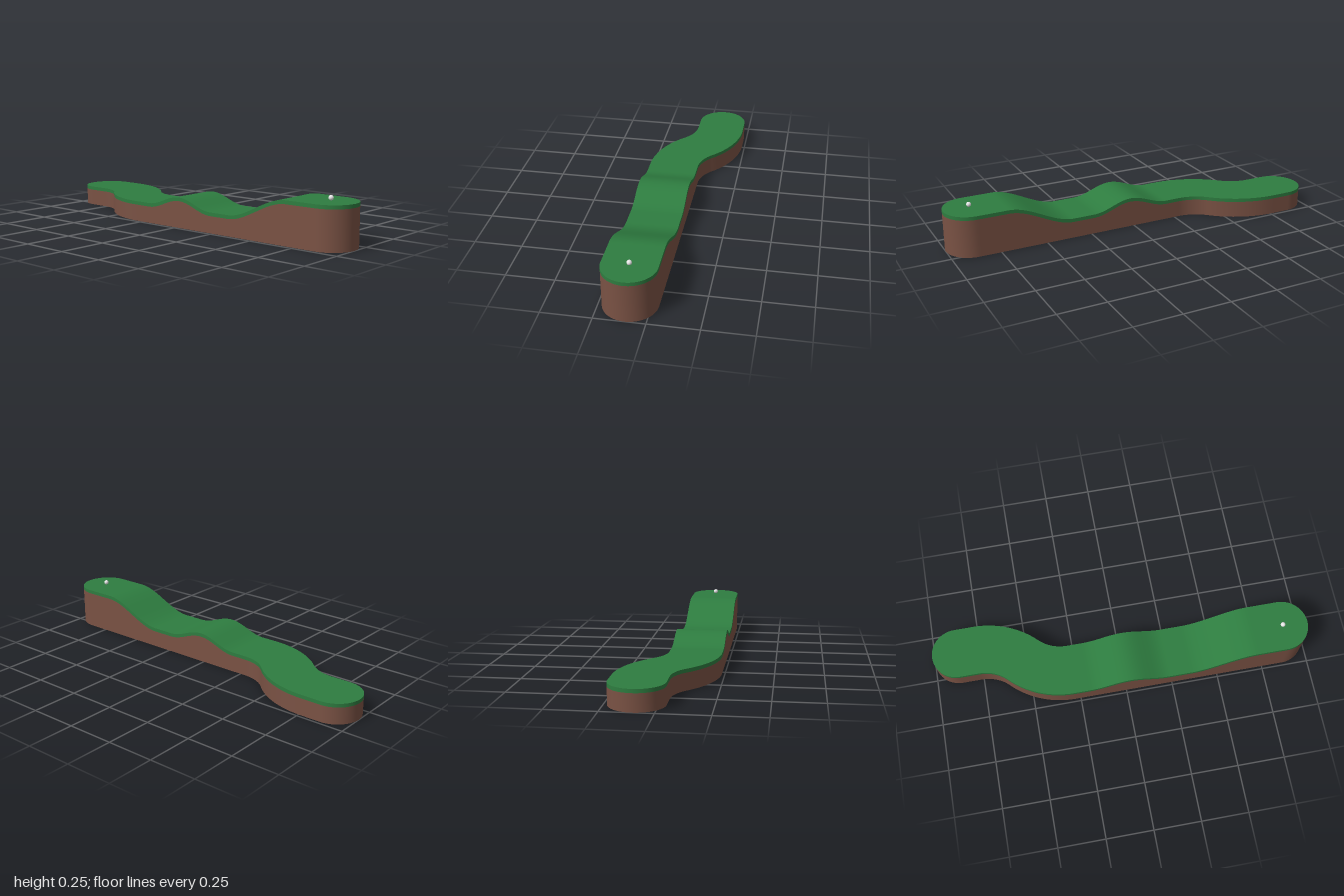
import * as THREE from 'three';

const HALF = 0.135;      // half width of the fairway
const TURF = 0.019;      // turf thickness
const BEND = 0.341;      // centre-line radius of the two 45 degree bends
const BEND_Z = -0.28;    // where the first bend starts
const MID_Z = -0.521;    // the S-bend is point-symmetric about (0, MID_Z)
const LANE_X = -0.1;
const END_Z = 0.865;     // centre of the rounded ends

// Height of the playing surface: raised tee, ramp down, one hump, then flat
function surfaceHeight(z) {
  const ramp = 0.113 * THREE.MathUtils.smoothstep(z, 0.35, 0.7);
  const d = Math.abs(z - 0.02) / 0.215;
  const hump = d < 1 ? 0.0265 * (1 + Math.cos(Math.PI * d)) : 0;
  return 0.107 + ramp + hump;
}

// Cross rows from the tee end to the far end: centre, half width, heading angle
function makeRows() {
  const rows = [];
  const add = (x, z, w = HALF, t = 0) => rows.push({
    a: [x - w * Math.cos(t), z - w * Math.sin(t)],
    b: [x + w * Math.cos(t), z + w * Math.sin(t)],
  });
  const CAP = 20, LANE = 110, ARC = 16;
  for (let i = 0; i < CAP; i++) {
    const t = (i / CAP) * Math.PI / 2;
    add(LANE_X, END_Z + HALF * Math.cos(t), HALF * Math.sin(t));
  }
  for (let i = 0; i < LANE; i++) add(LANE_X, THREE.MathUtils.lerp(END_Z, BEND_Z, i / LANE));
  const bend = (t) => [LANE_X + BEND * (1 - Math.cos(t)), BEND_Z - BEND * Math.sin(t)];
  for (let i = 0; i <= ARC; i++) {
    const t = (i / ARC) * Math.PI / 4;
    add(...bend(t), HALF, t);
  }
  for (let i = ARC - 1; i >= 0; i--) {
    const t = (i / ARC) * Math.PI / 4;
    const [x, z] = bend(t);
    add(-x, 2 * MID_Z - z, HALF, t);
  }
  for (let i = 0; i <= CAP; i++) {
    const t = (i / CAP) * Math.PI / 2;
    add(-LANE_X, -END_Z - HALF * Math.sin(t), i === CAP ? 0 : HALF * Math.cos(t));
  }
  return rows;
}

function buildGeometry(positions, index) {
  const g = new THREE.BufferGeometry();
  g.setAttribute('position', new THREE.Float32BufferAttribute(positions, 3));
  g.setIndex(index);
  g.computeVertexNormals();
  return g;
}

export function createModel() {
  const group = new THREE.Group();
  const material = (name, color) => {
    const m = new THREE.MeshStandardMaterial({ color });
    m.name = name;
    return m;
  };
  const green = material('turfGreen', 0x2e7d40);
  const brown = material('earthBrown', 0x7a5244);
  const white = material('ballWhite', 0xf0f0f0);

  // Closed outline: up one edge, back down the other
  const rows = makeRows();
  const n = rows.length;
  const outline = [...rows.map((r) => r.a), ...rows.slice(1, -1).reverse().map((r) => r.b)];
  const N = outline.length;
  const opposite = (i) => (2 * n - 2 - i) % N;

  // Horizontal sheet across the outline
  const sheet = (height, up) => {
    const index = [];
    const tri = (a, b, c) => {
      if (a !== b && b !== c && a !== c) index.push(...(up ? [a, b, c] : [a, c, b]));
    };
    for (let i = 0; i < n - 1; i++) {
      tri(i, opposite(i), opposite(i + 1));
      tri(i, opposite(i + 1), i + 1);
    }
    return buildGeometry(outline.flatMap(([x, z]) => [x, height(z), z]), index);
  };

  // Wall around the outline between two heights
  const wall = (low, high) => {
    const index = [];
    for (let i = 0; i < N; i++) {
      const p = 2 * i, q = 2 * ((i + 1) % N);
      index.push(p, p + 1, q + 1, p, q + 1, q);
    }
    return buildGeometry(outline.flatMap(([x, z]) => [x, low(z), z, x, high(z), z]), index);
  };

  const add = (name, geometry, mat) => {
    const mesh = new THREE.Mesh(geometry, mat);
    mesh.name = name;
    group.add(mesh);
    return mesh;
  };

  const ground = () => 0;
  const turfBase = (z) => surfaceHeight(z) - TURF;
  add('turfTop', sheet(surfaceHeight, true), green);
  add('turfEdge', wall(turfBase, surfaceHeight), green);
  add('earthWall', wall(ground, turfBase), brown);
  add('earthBottom', sheet(ground, false), brown);

  // Ball resting on the tee
  const ball = add('ball', new THREE.SphereGeometry(0.0125, 32, 20), white);
  ball.position.set(LANE_X, surfaceHeight(END_Z) + 0.0135, END_Z);

  return group;
}
